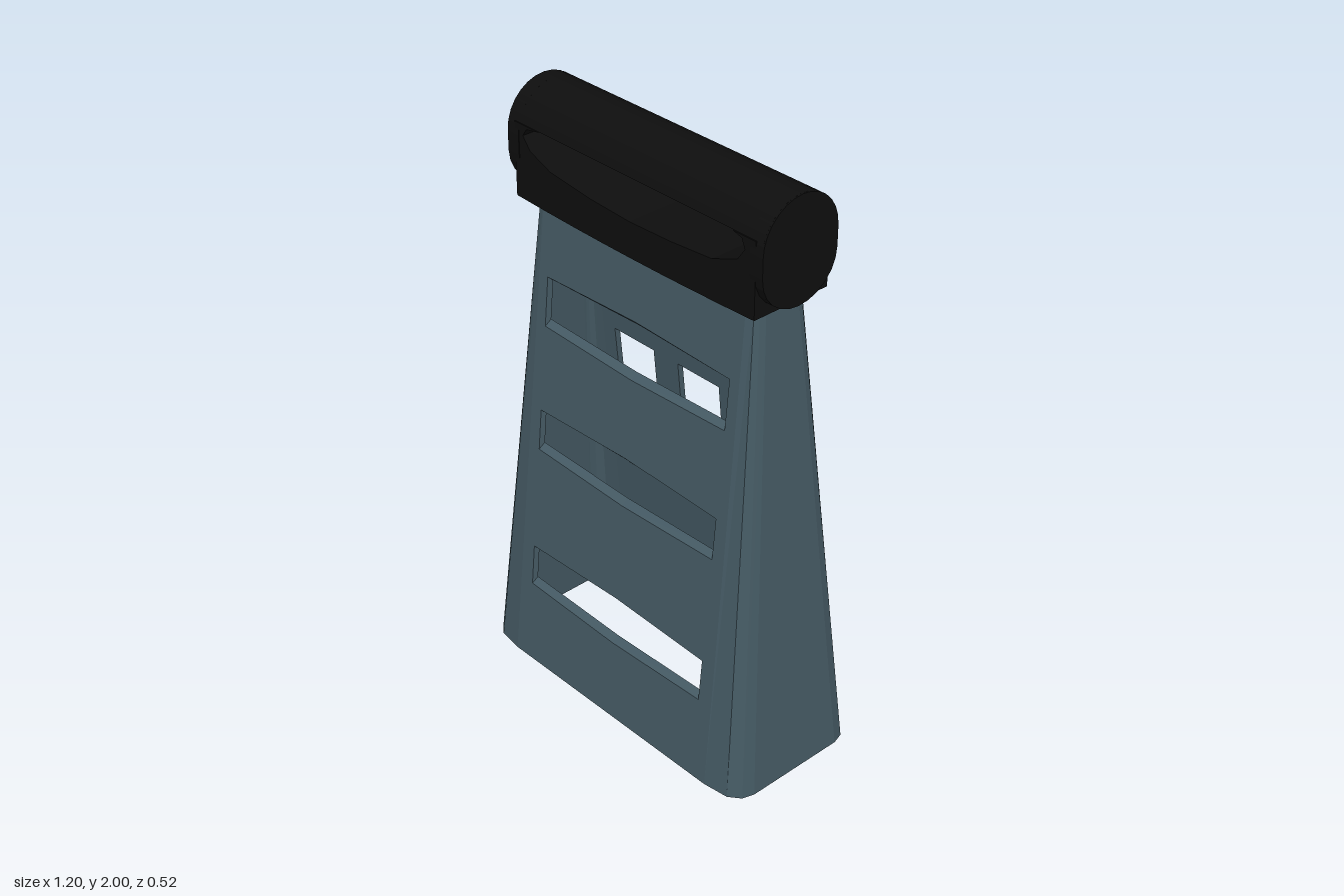
import * as THREE from 'three';
import { mergeGeometries } from 'three/addons/utils/BufferGeometryUtils.js';

const H = 1.68; // height of the hollow body, its top tucked inside the handle
const T = 0.02; // wall thickness
const Z0 = 0.262, Z1 = 0.098; // half depth at the bottom and top

const steel = new THREE.MeshStandardMaterial({ color: 0x455a64, side: THREE.DoubleSide });
steel.name = 'blue grey steel';
const black = new THREE.MeshStandardMaterial({ color: 0x0e0e0e });
black.name = 'black grip';

const V = (x, y, z) => new THREE.Vector3(x, y, z);

function finish(positions) {
  const g = new THREE.BufferGeometry();
  g.setAttribute('position', new THREE.Float32BufferAttribute(positions, 3));
  g.computeVertexNormals();
  return g;
}

// Flat quads between two rows of points
function strip(a, b, closed = false) {
  const p = [];
  const n = closed ? a.length : a.length - 1;
  for (let i = 0; i < n; i++) {
    const j = (i + 1) % a.length;
    for (const v of [a[i], a[j], b[j], a[i], b[j], b[i]]) p.push(v.x, v.y, v.z);
  }
  return finish(p);
}

// Sloping wall facing +z: outer skin, inner skin and the rims of its openings.
// Each opening is a pair of counter-clockwise contours, outer and inner.
function wall(openings) {
  const outline = [[-0.46, 0], [0.46, 0], [0.435, H], [-0.435, H]];
  const z = (y) => Z0 + (Z1 - Z0) * y / H;
  const to3 = (pts, depth) => pts.map(([x, y]) => V(x, y, z(y) - depth));
  const skin = (side, depth) => {
    const shape = new THREE.Shape(outline.map((p) => new THREE.Vector2(...p)));
    for (const o of openings) shape.holes.push(new THREE.Path(o[side].map((p) => new THREE.Vector2(...p))));
    const g = new THREE.ShapeGeometry(shape).toNonIndexed();
    const src = g.attributes.position;
    const p = [];
    for (let i = 0; i < src.count; i++) {
      const k = depth ? i - (i % 3) + 2 - (i % 3) : i; // turn the inner skin inward
      p.push(src.getX(k), src.getY(k), z(src.getY(k)) - depth);
    }
    return finish(p);
  };
  const parts = [skin(0, 0), skin(1, T), strip(to3(outline, T), to3(outline, 0), true)];
  for (const [o, i] of openings) parts.push(strip(to3(o, 0), to3(i, T), true));
  return mergeGeometries(parts);
}

// Side wall on +x with its rounded corners, from front to back
function sideWall() {
  const low = [[0.46, Z0], [0.55, 0.25], [0.588, 0.22], [0.6, 0.18]];
  const high = [[0.435, Z1], [0.458, 0.09], [0.468, 0.078], [0.474, 0.06]];
  const row = (q, y, t) => {
    const front = q.map(([x, z], k) => V(x - t * k / 3, y, z - t * (1 - k / 3)));
    return [...front, ...front.map((v) => V(v.x, y, -v.z)).reverse()];
  };
  const a = row(low, 0, 0), b = row(high, H, 0);
  const c = row(low, 0, T), d = row(high, H, T);
  return mergeGeometries([strip(a, b), strip(d, c), strip(c, a)]);
}

// Bowed slicing slot with a bevelled edge
function slot(y0, y1) {
  const ring = (w, lo, hi, bow) => [[-w, lo], [0, lo - bow], [w, lo], [w, hi], [0, hi + bow], [-w, hi]];
  return [ring(0.4, y0, y1, 0.013), ring(0.397, y0 + 0.018, y1 - 0.016, 0.01)];
}

// Square grating hole
function squareHole(x, y) {
  const r = 0.092;
  const ring = [[x - r, y - r], [x + r, y - r], [x + r, y + r], [x - r, y + r]];
  return [ring, ring];
}

// Profile in the depth-height plane, extruded along x from x0 to x1
function alongX(points, x0, x1) {
  const shape = new THREE.Shape(points.map(([z, y]) => new THREE.Vector2(z, y)));
  const g = new THREE.ExtrudeGeometry(shape, { depth: x1 - x0, bevelEnabled: false });
  return g.rotateY(Math.PI / 2).translate(x0, 0, 0);
}

function arc(cy, rx, ry, from, to, n) {
  return Array.from({ length: n + 1 }, (_, i) => {
    const t = from + (to - from) * i / n;
    return [rx * Math.cos(t), cy + ry * Math.sin(t)];
  });
}

export function createModel() {
  const model = new THREE.Group();
  const add = (name, geometry, material, parent = model) => {
    const m = new THREE.Mesh(geometry, material);
    m.name = name;
    parent.add(m);
    return m;
  };

  // Hollow body, open at the bottom
  const body = new THREE.Group();
  body.name = 'body';
  model.add(body);
  add('frontSlicingWall', wall([slot(1.238, 1.405), slot(0.8, 0.942), slot(0.29, 0.435)]), steel, body);
  const holes = [];
  for (const y of [0.33, 0.683, 1.035, 1.387]) {
    for (const x of [-0.295, 0, 0.295]) holes.push(squareHole(x, y));
  }
  add('backGratingWall', wall(holes), steel, body).rotation.y = Math.PI;
  add('leftSideWall', sideWall(), steel, body);
  add('rightSideWall', sideWall(), steel, body).rotation.y = Math.PI;

  // Handle: rounded top bar, cradle below the finger opening, rounded ends
  const handle = new THREE.Group();
  handle.name = 'handle';
  model.add(handle);
  const R = 0.145, cy = 1.855, cut = Math.asin(0.04 / R);
  add('topBar', alongX(arc(cy, R, R, cut, Math.PI - cut, 14), -0.535, 0.535), black, handle);

  const cradle = new THREE.Shape();
  cradle.moveTo(-0.51, 1.65);
  cradle.quadraticCurveTo(0, 1.63, 0.51, 1.65);
  cradle.lineTo(0.51, 1.895);
  cradle.lineTo(0.42, 1.895);
  for (const [x, y] of [[0.455, 1.885], [0.468, 1.855], [0.44, 1.815], [0.34, 1.775], [0.17, 1.762], [0, 1.757],
    [-0.17, 1.765], [-0.35, 1.785], [-0.44, 1.82], [-0.472, 1.86], [-0.455, 1.885], [-0.4, 1.895], [-0.51, 1.895]]) {
    cradle.lineTo(x, y);
  }
  const cradleGeometry = new THREE.ExtrudeGeometry(cradle, { depth: 0.286, bevelEnabled: false, curveSegments: 8 });
  add('gripCradle', cradleGeometry.translate(0, 0, -0.143), black, handle);

  const endProfile = [...arc(cy, R, R, 0, Math.PI, 14), ...arc(1.79, R, 0.135, Math.PI, 2 * Math.PI, 12)];
  add('leftHandleEnd', alongX(endProfile, 0.49, 0.54), black, handle);
  add('rightHandleEnd', alongX(endProfile, -0.54, -0.49), black, handle);

  return model;
}
